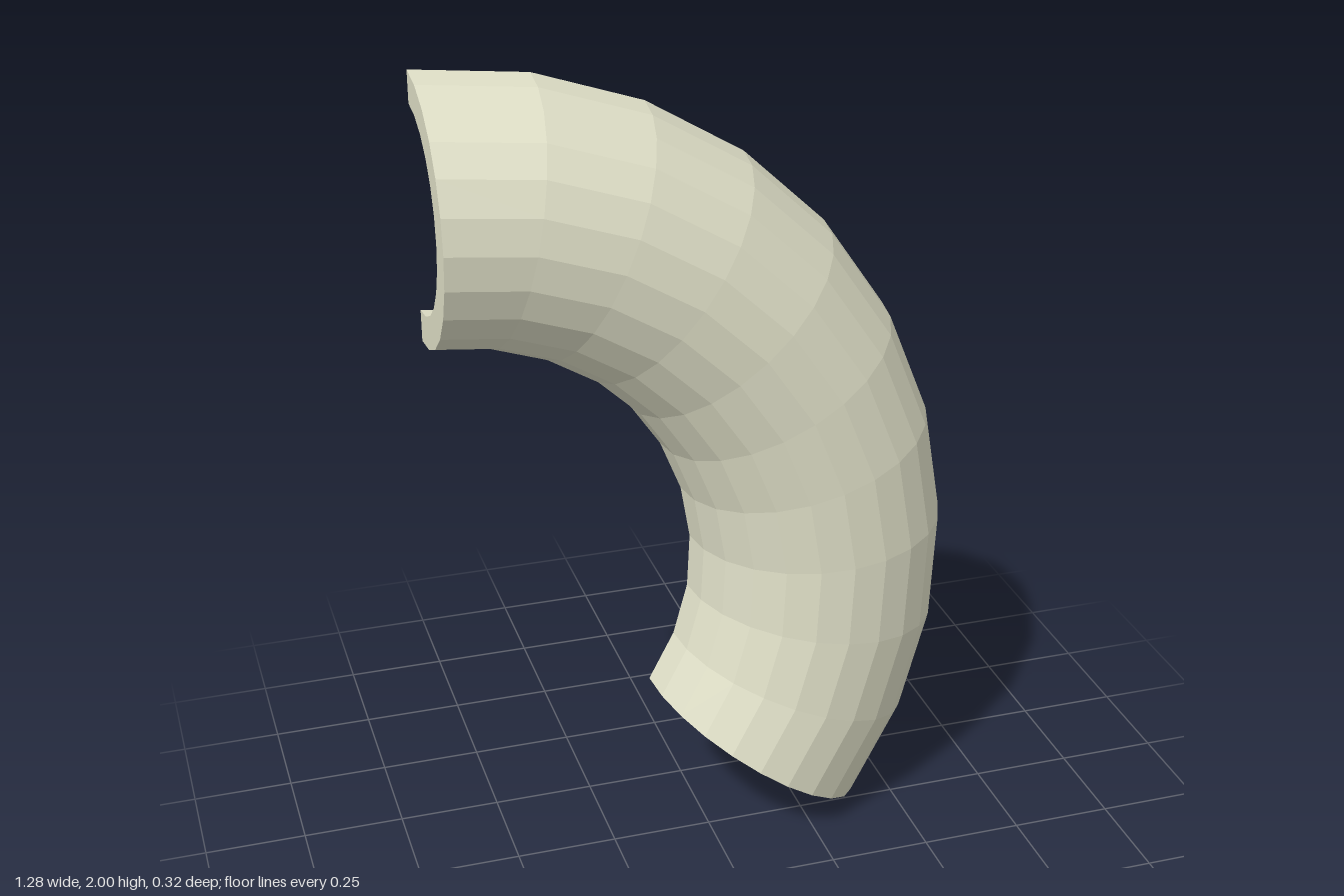
import * as THREE from 'three';
import { mergeGeometries } from 'three/addons/utils/BufferGeometryUtils.js';

const TUBE = 0.3207;        // outer radius of the half pipe
const BORE = 0.244;         // inner radius of the half pipe
const BEND = TUBE * 3;      // radius of the bend's centre line
const SWEEP = THREE.MathUtils.degToRad(124);
const ARC_SIDES = 12;
const BEND_SIDES = 10;

// Half-ring cross-section: outer arc forwards, inner arc back
function halfRing() {
  const points = [];
  for (const [radius, from, to] of [[TUBE, 0, Math.PI], [BORE, Math.PI, 0]]) {
    for (let i = 0; i <= ARC_SIDES; i++) {
      const a = from + (to - from) * i / ARC_SIDES;
      points.push(new THREE.Vector2(BEND + radius * Math.cos(a), radius * Math.sin(a)));
    }
  }
  return points;
}

export function createModel() {
  const group = new THREE.Group();
  group.name = 'halfPipeBend';
  const profile = halfRing();
  const start = Math.PI - SWEEP;

  // Curved wall with its flat back rims
  const wall = new THREE.LatheGeometry([...profile, profile[0].clone()], BEND_SIDES, start, SWEEP);

  // Flat caps closing the wall thickness at both ends
  const cap = (angle, flip) => {
    const g = new THREE.ShapeGeometry(new THREE.Shape(profile));
    if (flip) g.index.array.reverse();
    return g.rotateY(angle - Math.PI / 2);
  };

  const geometry = mergeGeometries([wall, cap(start, false), cap(Math.PI, true)]);
  geometry.rotateX(Math.PI / 2);
  geometry.translate(-0.64, 2 - BEND - TUBE, -TUBE / 2);

  const pipe = new THREE.Mesh(geometry, new THREE.MeshStandardMaterial({ color: 0xe0e0c8, flatShading: true }));
  pipe.name = 'curvedHalfPipe';
  group.add(pipe);
  return group;
}
